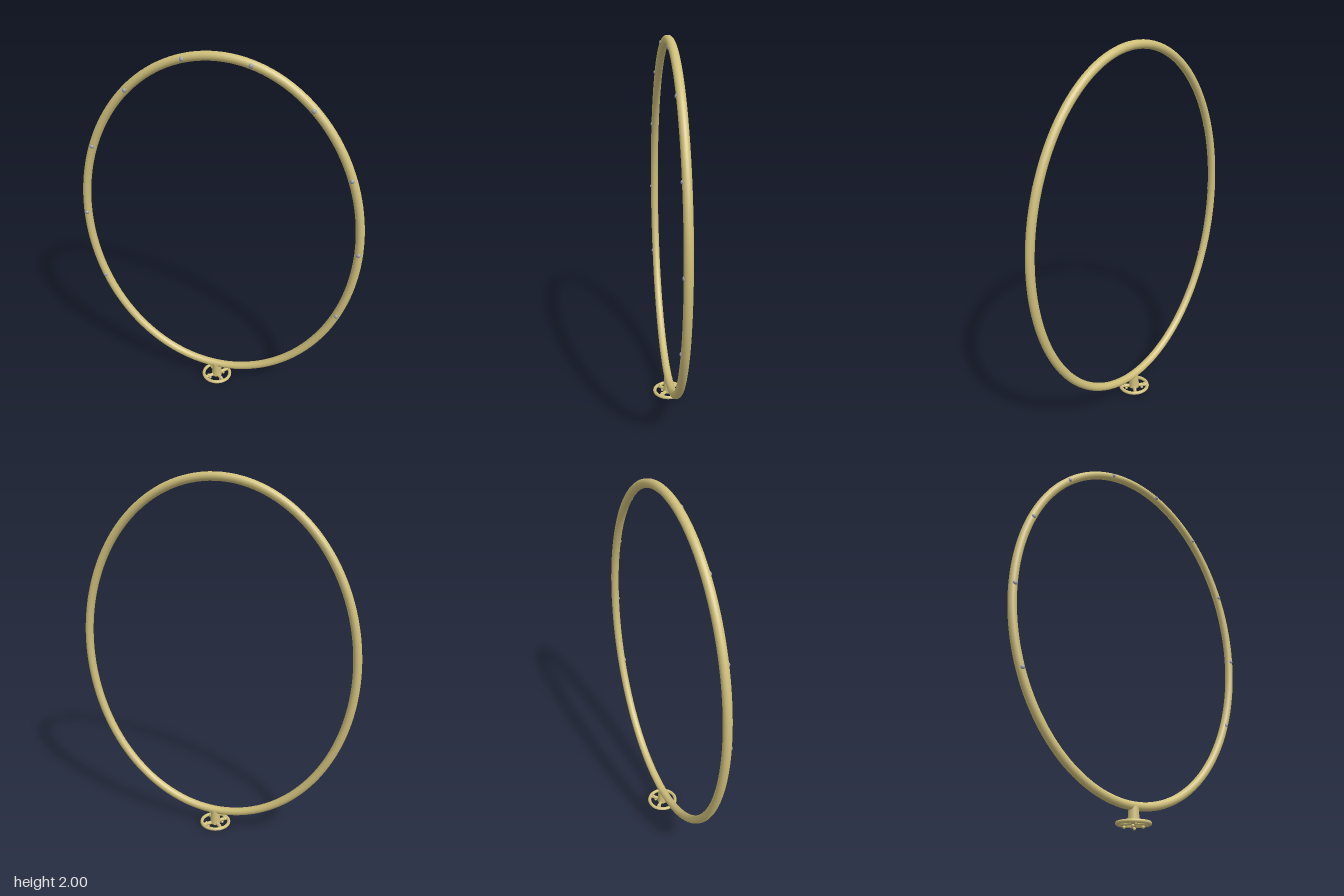
import * as THREE from 'three';

const RX = 0.742, RY = 0.936, CY = 1.042, TUBE = 0.022;

// Upright ellipse followed by the hoop
class EllipsePath extends THREE.Curve {
  getPoint(t, target = new THREE.Vector3()) {
    const a = t * Math.PI * 2;
    return target.set(RX * Math.cos(a), CY + RY * Math.sin(a), 0);
  }
}

export function createModel() {
  const group = new THREE.Group();
  const brass = new THREE.MeshStandardMaterial({ color: 0xcfbf7a });
  brass.name = 'brass';
  const steel = new THREE.MeshStandardMaterial({ color: 0x9c9eac });
  steel.name = 'steel';

  const add = (name, geometry, material, x = 0, y = 0, z = 0, parent = group) => {
    const mesh = new THREE.Mesh(geometry, material);
    mesh.name = name;
    mesh.position.set(x, y, z);
    parent.add(mesh);
    return mesh;
  };

  // Oval hoop
  add('hoop', new THREE.TubeGeometry(new EllipsePath(), 160, TUBE, 20, true), brass);

  // Studs along the front, leaving the lowest part of the hoop bare
  const stud = new THREE.SphereGeometry(0.0125, 16, 12);
  for (let i = -1; i <= 8; i++) {
    const a = (i * Math.PI * 2) / 14;
    add('stud', stud, steel, RX * Math.cos(a), CY + RY * Math.sin(a), 0.0155);
  }

  // Stem between the hoop and the base wheel
  add('stem', new THREE.CylinderGeometry(0.024, 0.03, 0.085, 24), brass, 0, 0.0625);

  // Base wheel rim
  const rim = add('baseRim', new THREE.TorusGeometry(0.078, 0.0095, 12, 48), brass, 0, 0.025);
  rim.rotation.x = Math.PI / 2;

  // Diagonal spokes with small knobs above and below
  const spokeGeometry = new THREE.CylinderGeometry(0.01, 0.01, 0.075, 12).rotateZ(Math.PI / 2);
  const knob = new THREE.SphereGeometry(0.008, 12, 8);
  for (let i = 0; i < 4; i++) {
    const spoke = new THREE.Group();
    spoke.name = 'spoke';
    spoke.rotation.y = Math.PI / 4 + (i * Math.PI) / 2;
    add('spokeBar', spokeGeometry, brass, 0.04, 0.025, 0, spoke);
    add('upperKnob', knob, brass, 0.058, 0.033, 0, spoke);
    add('lowerKnob', knob, brass, 0.045, 0.008, 0, spoke);
    group.add(spoke);
  }
  return group;
}
